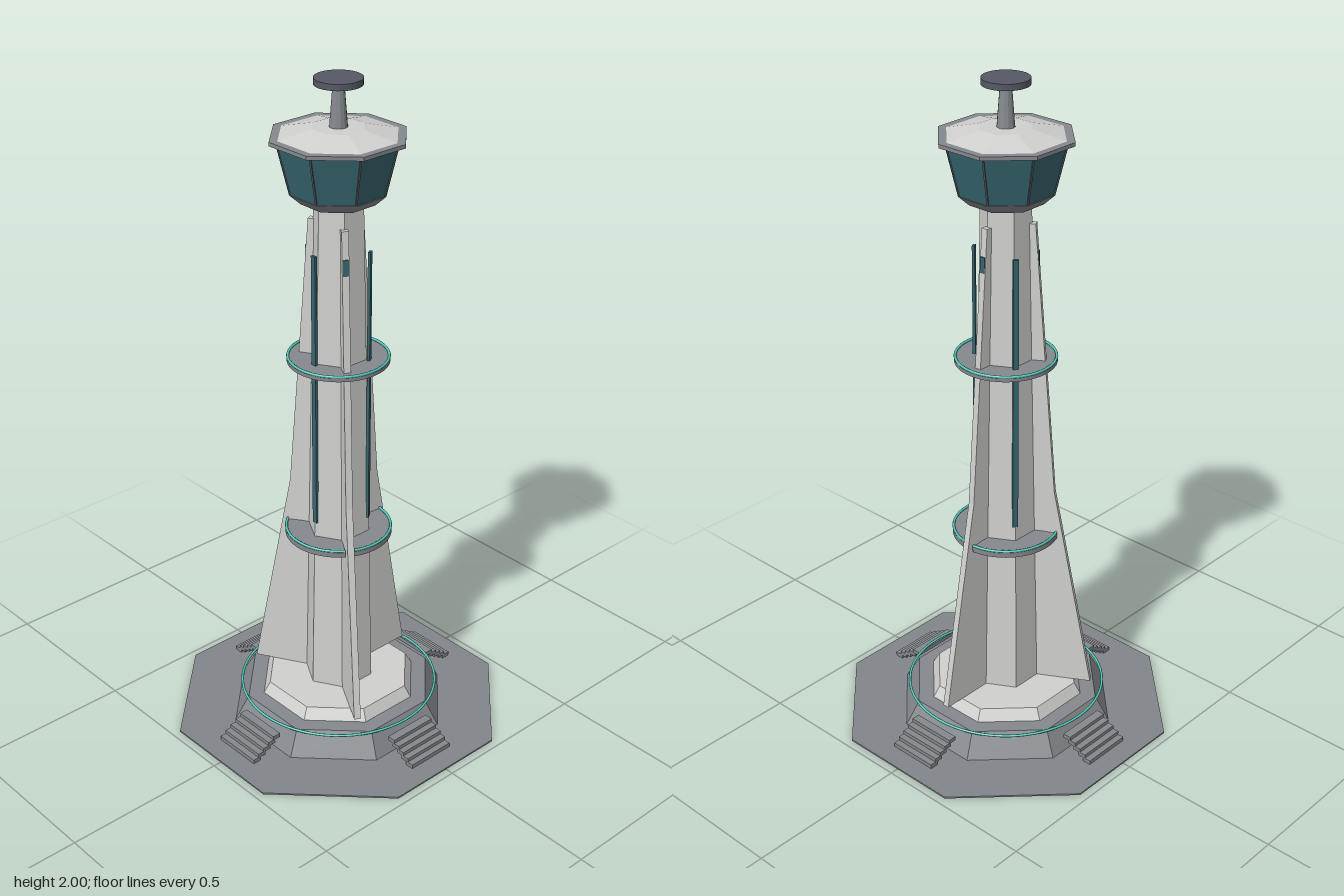
import * as THREE from 'three';

const mat = (name, color, extra = {}) => {
  const m = new THREE.MeshStandardMaterial({ color, ...extra });
  m.name = name;
  return m;
};

export function createModel() {
  const root = new THREE.Group();
  root.name = 'observationTower';

  const concrete = mat('lightConcrete', 0xd0d0ce, { flatShading: true });
  const paving = mat('greyPaving', 0x82858a, { flatShading: true });
  const trim = mat('greyTrim', 0x85888d, { flatShading: true });
  const glass = mat('darkTealGlass', 0x37666f, { flatShading: true });
  const rail = mat('brightTealRail', 0x4fc9b8);
  const metal = mat('darkMetal', 0x565964, { flatShading: true });

  const add = (name, geometry, material, parent = root) => {
    const mesh = new THREE.Mesh(geometry, material);
    mesh.name = name;
    parent.add(mesh);
    return mesh;
  };

  // Octagonal frustum with flat sides on the axes; a0 and a1 are side distances
  const corner = 1 / Math.cos(Math.PI / 8);
  const octagon = (name, a0, a1, y0, y1, material) => {
    const g = new THREE.CylinderGeometry(a1 * corner, a0 * corner, y1 - y0, 8);
    g.rotateY(Math.PI / 8).translate(0, (y0 + y1) / 2, 0);
    return add(name, g, material);
  };
  const round = (name, r0, r1, y0, y1, sides, material) => {
    const g = new THREE.CylinderGeometry(r1, r0, y1 - y0, sides);
    return add(name, g.translate(0, (y0 + y1) / 2, 0), material);
  };

  // Base
  octagon('plaza', 0.475, 0.475, 0, 0.005, paving);
  octagon('plinth', 0.31, 0.27, 0.005, 0.08, trim);
  octagon('upperPlinth', 0.225, 0.206, 0.08, 0.115, concrete);
  add('baseRail', new THREE.TorusGeometry(0.299, 0.004, 8, 64).rotateX(-Math.PI / 2).translate(0, 0.083, 0), rail);

  // Four flights of stairs
  for (let side = 0; side < 4; side++) {
    const stairs = new THREE.Group();
    stairs.name = 'stairs';
    stairs.rotation.y = side * Math.PI / 2;
    for (let i = 0; i < 5; i++) {
      const step = new THREE.BoxGeometry(0.156, 0.013, 0.026);
      add('step', step.translate(0, 0.0125 + i * 0.0115, 0.398 - i * 0.0195), trim, stairs);
    }
    root.add(stairs);
  }

  // Six-sided shaft
  round('shaft', 0.106, 0.072, 0.115, 1.67, 6, concrete);

  // Three buttress fins
  const finShape = new THREE.Shape([
    [0.03, 0.115], [0.267, 0.115], [0.147, 0.77], [0.085, 1.6], [0.03, 1.6],
  ].map(([x, y]) => new THREE.Vector2(x, y)));
  for (let i = 0; i < 3; i++) {
    const g = new THREE.ExtrudeGeometry(finShape, { depth: 0.02, bevelEnabled: false });
    const fin = add('buttressFin', g.translate(0, 0, -0.01), concrete);
    fin.rotation.y = Math.PI / 3 + i * Math.PI * 2 / 3 - Math.PI / 2;
  }

  // Upright glass strips on the shaft corners
  for (let i = 0; i < 6; i++) {
    const g = new THREE.BoxGeometry(0.016, 0.84, 0.008).translate(0, 1.1, 0.0905);
    add('glassStrip', g, glass).rotation.y = i * Math.PI / 3;
  }

  // Balconies in three sectors, each with a rail on its outer edge
  const balcony = (radius, y, height, halfAngle) => {
    const group = new THREE.Group();
    group.name = 'balcony';
    for (let i = 0; i < 3; i++) {
      const start = i * Math.PI * 2 / 3 - Math.PI / 2 - halfAngle;
      const end = start + halfAngle * 2;
      const s = new THREE.Shape();
      s.absarc(0, 0, radius, start, end, false);
      s.absarc(0, 0, 0.06, end, start, true);
      const deck = new THREE.ExtrudeGeometry(s, { depth: height, bevelEnabled: false, curveSegments: 20 });
      add('balconyDeck', deck.rotateX(-Math.PI / 2).translate(0, y, 0), trim, group);
      const bar = new THREE.TorusGeometry(radius - 0.003, 0.004, 8, 24, halfAngle * 2);
      bar.rotateZ(start).rotateX(-Math.PI / 2).translate(0, y + height + 0.003, 0);
      add('balconyRail', bar, rail, group);
    }
    root.add(group);
  };
  balcony(0.158, 0.618, 0.016, THREE.MathUtils.degToRad(55));
  balcony(0.147, 1.181, 0.011, Math.PI / 3);

  // Cabin
  octagon('cabinUnderside', 0.1, 0.13, 1.66, 1.69, trim);
  octagon('cabinGlass', 0.127, 0.16, 1.69, 1.835, glass);
  for (let i = 0; i < 8; i++) {
    const a = Math.PI / 8 + i * Math.PI / 4;
    const lean = Math.atan2((0.16 - 0.127) * corner, 0.145);
    const g = new THREE.BoxGeometry(0.005, 0.147, 0.005).rotateX(lean);
    g.translate(0, 1.7625, 0.1435 * corner).rotateY(a);
    add('windowMullion', g, metal);
  }

  // Roof
  octagon('roofRim', 0.18, 0.18, 1.833, 1.844, trim);
  octagon('roof', 0.158, 0.07, 1.844, 1.866, concrete);

  // Mast and cap
  round('mast', 0.026, 0.016, 1.86, 1.985, 12, trim);
  round('mastCap', 0.067, 0.067, 1.982, 2, 32, metal);

  return root;
}
